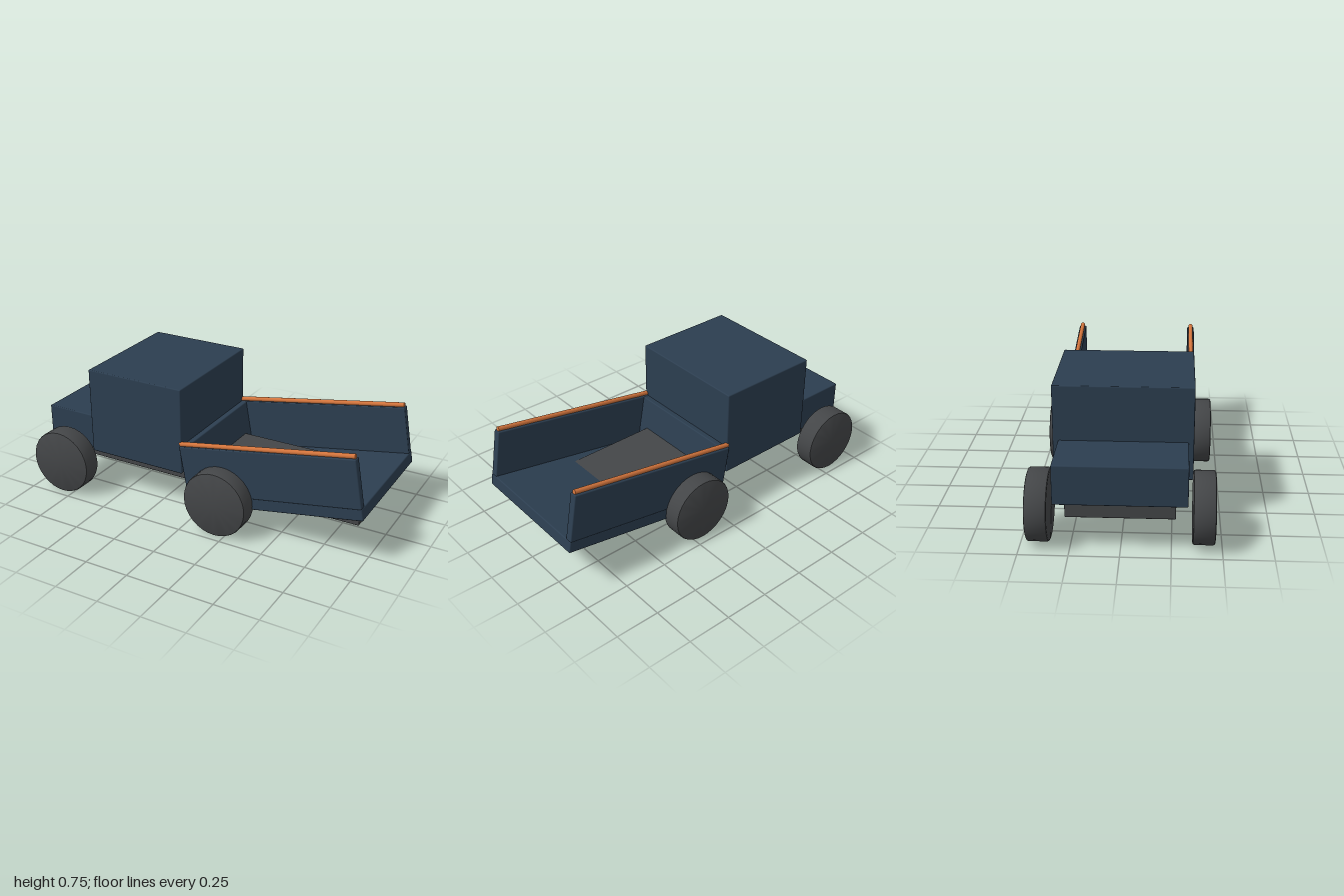
import * as THREE from 'three';
import { RoundedBoxGeometry } from 'three/addons/geometries/RoundedBoxGeometry.js';
import { toCreasedNormals } from 'three/addons/utils/BufferGeometryUtils.js';

const paint = new THREE.MeshStandardMaterial({ color: 0x2c3e50 });
const dark = new THREE.MeshStandardMaterial({ color: 0x444648 });
const copper = new THREE.MeshStandardMaterial({ color: 0xd2743c });

// Softly edged box given by its min and max corners
function block(name, material, [x0, y0, z0], [x1, y1, z1]) {
  const mesh = new THREE.Mesh(new RoundedBoxGeometry(x1 - x0, y1 - y0, z1 - z0, 2, 0.006), material);
  mesh.position.set((x0 + x1) / 2, (y0 + y1) / 2, (z0 + z1) / 2);
  mesh.name = name;
  return mesh;
}

// Solid disc wheel with a small chamfer, axle along z
function wheelGeometry(radius, width, bevel) {
  const h = width / 2;
  const profile = [
    [0, -h], [radius - bevel, -h], [radius - bevel * 0.3, -h + bevel * 0.3], [radius, -h + bevel],
    [radius, h - bevel], [radius - bevel * 0.3, h - bevel * 0.3], [radius - bevel, h], [0, h],
  ].map(([x, y]) => new THREE.Vector2(x, y));
  const geometry = new THREE.LatheGeometry(profile, 32).rotateX(Math.PI / 2);
  return toCreasedNormals(geometry, 0.6);
}

export function createModel() {
  const truck = new THREE.Group();
  truck.name = 'dumpTruck';

  // Chassis, cab and hood; the truck drives towards -x
  truck.add(
    block('chassis', dark, [-0.94, 0.178, -0.27], [0.94, 0.256, 0.27]),
    block('cab', paint, [-0.656, 0.256, -0.355], [-0.064, 0.752, 0.355]),
    block('hood', paint, [-0.966, 0.256, -0.328], [-0.65, 0.462, 0.328]),
  );

  // Wheels
  const wheel = wheelGeometry(0.185, 0.111, 0.01);
  for (const [axle, x] of [['front', -0.815], ['rear', 0.195]]) {
    for (const side of [1, -1]) {
      const mesh = new THREE.Mesh(wheel, dark);
      mesh.name = axle + 'Wheel';
      mesh.position.set(x, 0.185, side * 0.408);
      truck.add(mesh);
    }
  }

  // Dump bed, tipped up at the open tail
  const bed = new THREE.Group();
  bed.name = 'dumpBed';
  bed.position.set(0.492, 0.184, 0);
  bed.rotation.z = THREE.MathUtils.degToRad(10);
  bed.add(
    block('bedFloor', paint, [-0.513, 0, -0.37], [0.513, 0.066, 0.37]),
    block('bedHeadboard', paint, [-0.511, 0.06, -0.335], [-0.47, 0.334, 0.335]),
  );
  for (const side of [1, -1]) {
    const wall = block('bedSideWall', paint, [-0.511, 0.062, -0.021], [0.511, 0.335, 0.021]);
    wall.position.z = side * 0.349;

    // Round rail along the wall top
    const rail = new THREE.Mesh(new THREE.CylinderGeometry(0.013, 0.013, 1.016, 16).rotateZ(Math.PI / 2), copper);
    rail.name = 'bedRail';
    rail.position.set(-0.003, 0.345, side * 0.349);
    bed.add(wall, rail);
  }
  truck.add(bed);

  return truck;
}
